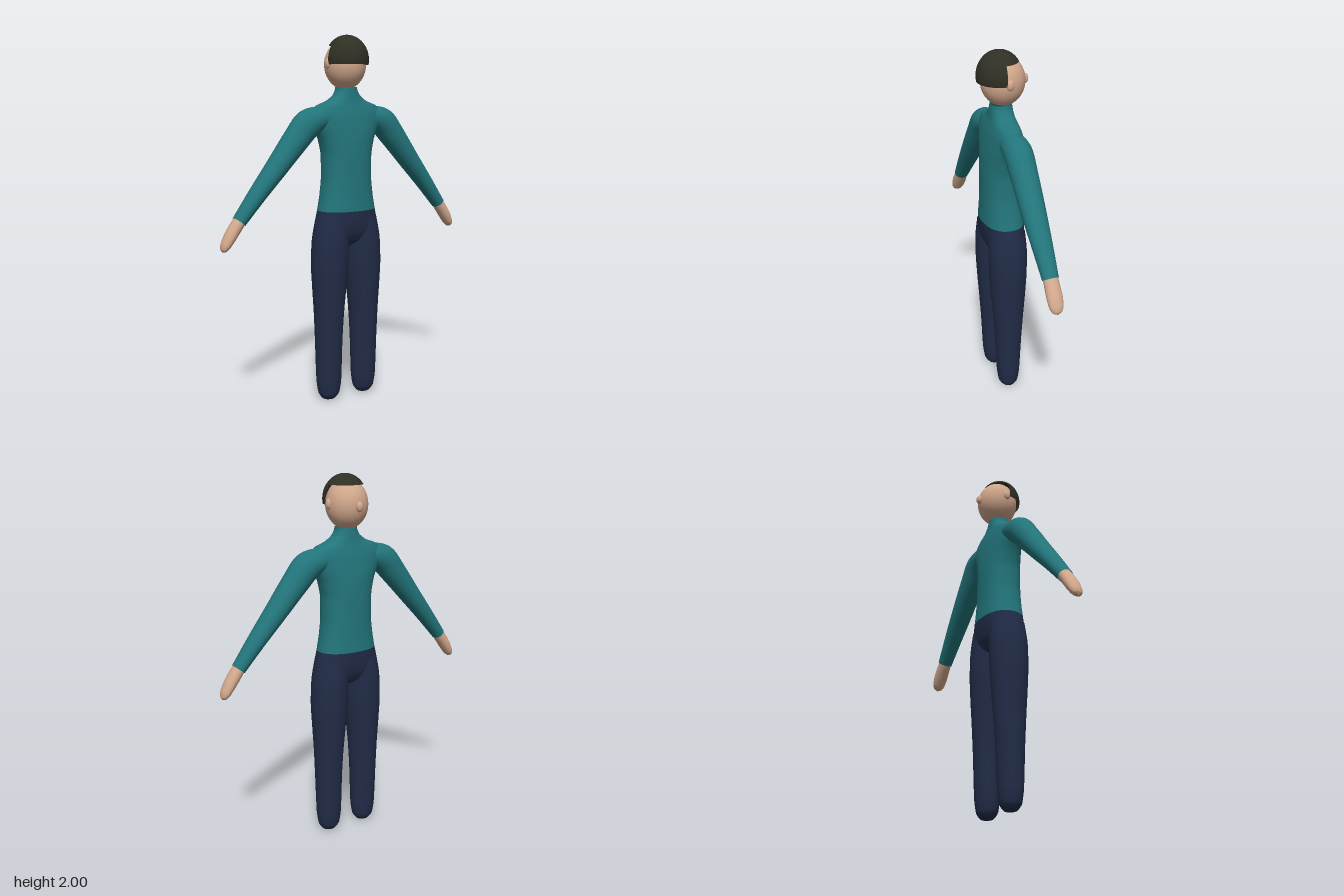
import * as THREE from 'three';

const mat = (name, color) => {
  const m = new THREE.MeshStandardMaterial({ color, side: THREE.DoubleSide });
  m.name = name;
  return m;
};

// Smooth tube of rounded cross-sections; each section is [x, y, halfWidth, halfDepth].
// The path lies in the xy plane; "power" above 2 makes the sections boxier.
function loft(sections, power = 2, side = 1, steps = 5, n = 36) {
  const path = new THREE.CatmullRomCurve3(sections.map(([x, y]) => new THREE.Vector3(x * side, y, 0)));
  const size = new THREE.CatmullRomCurve3(sections.map(([, , a, b]) => new THREE.Vector3(a, b, 0)));
  const rows = (sections.length - 1) * steps;
  const pos = [], index = [];
  const bend = (v) => Math.sign(v) * Math.pow(Math.abs(v), 2 / power);
  for (let i = 0; i <= rows; i++) {
    const p = path.getPoint(i / rows), r = size.getPoint(i / rows), t = path.getTangent(i / rows);
    for (let j = 0; j < n; j++) {
      const f = (j / n) * Math.PI * 2;
      const u = bend(Math.cos(f)) * Math.max(r.x, 0.001);
      const w = bend(Math.sin(f)) * Math.max(r.y, 0.001);
      pos.push(p.x + t.y * u, p.y - t.x * u, -w);
      if (i < rows) {
        const a = i * n + j, b = i * n + (j + 1) % n;
        index.push(a, b, b + n, a, b + n, a + n);
      }
    }
  }
  const g = new THREE.BufferGeometry();
  g.setAttribute('position', new THREE.Float32BufferAttribute(pos, 3));
  g.setIndex(index);
  g.computeVertexNormals();
  return g;
}

export function createModel() {
  const skin = mat('skin', 0xd2a88c);
  const sweater = mat('teal sweater', 0x22757b);
  const trousers = mat('navy trousers', 0x212c47);
  const hair = mat('dark hair', 0x2f2f24);

  const model = new THREE.Group();
  model.name = 'figure';
  const body = new THREE.Group();
  body.name = 'body';
  model.add(body);

  const add = (name, geometry, material) => {
    const mesh = new THREE.Mesh(geometry, material);
    mesh.name = name;
    body.add(mesh);
    return mesh;
  };
  const ball = (name, material, [x, y, z], [rx, ry, rz]) => {
    const m = add(name, new THREE.SphereGeometry(1, 36, 24), material);
    m.position.set(x, y, z);
    m.scale.set(rx, ry, rz);
  };

  // Torso from hem to collar
  add('torso', loft([
    [0, 1.07, 0.168, 0.112], [0, 1.15, 0.153, 0.108], [0, 1.25, 0.142, 0.106],
    [0, 1.36, 0.143, 0.105], [0, 1.45, 0.163, 0.1], [0, 1.53, 0.2, 0.09],
    [0, 1.59, 0.215, 0.08], [0, 1.63, 0.185, 0.07], [0, 1.655, 0.118, 0.064],
    [0, 1.685, 0.075, 0.06], [0, 1.71, 0.06, 0.057], [0, 1.728, 0.056, 0.055],
  ], 2.3), sweater);

  // Pelvis joining the legs to the hem
  add('pelvis', loft([
    [0, 0.87, 0.12, 0.03], [0, 0.9, 0.18, 0.075], [0, 0.95, 0.194, 0.1],
    [0, 1.01, 0.183, 0.109], [0, 1.07, 0.168, 0.112],
  ], 2.3), trousers);

  for (const side of [1, -1]) {
    const label = side > 0 ? 'left' : 'right';

    add(label + 'Leg', loft([
      [0.115, 0, 0.001, 0.001], [0.115, 0.008, 0.036, 0.032], [0.115, 0.04, 0.06, 0.055],
      [0.115, 0.11, 0.071, 0.065], [0.115, 0.35, 0.077, 0.076], [0.113, 0.5, 0.083, 0.086],
      [0.11, 0.65, 0.094, 0.097], [0.107, 0.78, 0.102, 0.104], [0.102, 0.9, 0.1, 0.106],
      [0.088, 1.02, 0.09, 0.1],
    ], 2, side), trousers);

    add(label + 'Sleeve', loft([
      [0.11, 1.565, 0.055, 0.06], [0.18, 1.56, 0.068, 0.07], [0.24, 1.535, 0.077, 0.073],
      [0.3, 1.47, 0.072, 0.07], [0.43, 1.315, 0.057, 0.063], [0.54, 1.185, 0.046, 0.053],
      [0.645, 1.055, 0.036, 0.042],
    ], 2, side), sweater);

    add(label + 'Hand', loft([
      [0.63, 1.075, 0.031, 0.037], [0.66, 1.035, 0.033, 0.039], [0.695, 0.985, 0.031, 0.041],
      [0.722, 0.94, 0.025, 0.036], [0.734, 0.918, 0.016, 0.024], [0.74, 0.908, 0.001, 0.001],
    ], 2, side), skin);

    ball(label + 'Ear', skin, [side * 0.11, 1.85, 0.008], [0.014, 0.028, 0.021]);
  }

  // Head and nose
  ball('head', skin, [0, 1.845, 0.01], [0.111, 0.13, 0.115]);
  ball('nose', skin, [0, 1.84, 0.13], [0.018, 0.027, 0.018]);

  // Hair: deep shell behind the ears, shallow cap over the forehead
  const shell = (name, phi, theta) => {
    const m = add(name, new THREE.SphereGeometry(1, 32, 20, phi, Math.PI, 0, theta), hair);
    m.position.set(0, 1.87, -0.008);
    m.scale.set(0.117, 0.13, 0.118);
  };
  shell('frontHair', 0, 0.96);
  shell('backHair', Math.PI, 1.765);

  // The figure stands turned, facing the back right corner
  body.rotation.y = -THREE.MathUtils.degToRad(136);
  return model;
}
